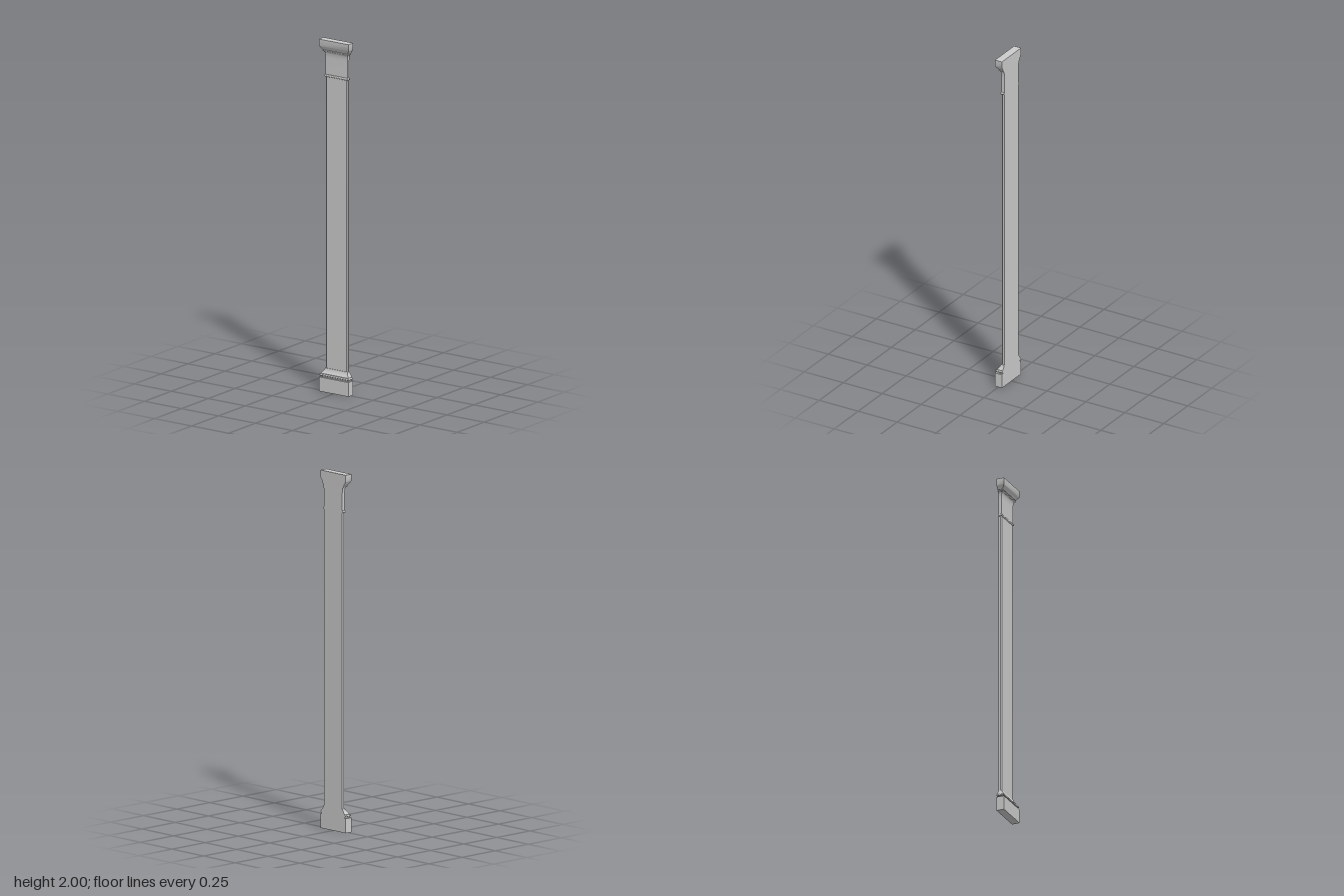
import * as THREE from 'three';
import { toCreasedNormals } from 'three/addons/utils/BufferGeometryUtils.js';

const BACK = -0.0225;
const SHAFT = 0.073;
const frontOf = (w) => w - 0.0775; // mouldings project equally to the front and sides
const material = new THREE.MeshStandardMaterial({ color: 0xcccccc });

// Mitred moulding against a flat back; rows are [height, half width]
function moulding(name, rows) {
  const pos = [], index = [];
  rows.forEach(([y, w]) => {
    const f = frontOf(w);
    pos.push(-w, y, BACK, -w, y, f, w, y, f, w, y, BACK);
  });
  for (let i = 0; i < rows.length - 1; i++) {
    for (let j = 0; j < 4; j++) {
      const a = i * 4 + j, b = i * 4 + (j + 1) % 4;
      index.push(a, b, b + 4, a, b + 4, a + 4);
    }
  }
  const t = (rows.length - 1) * 4;
  index.push(0, 2, 1, 0, 3, 2, t, t + 1, t + 2, t, t + 2, t + 3);
  const geo = new THREE.BufferGeometry();
  geo.setAttribute('position', new THREE.Float32BufferAttribute(pos, 3));
  geo.setIndex(index);
  const mesh = new THREE.Mesh(toCreasedNormals(geo, 0.6), material);
  mesh.name = name;
  return mesh;
}

// Half-round bead rows
function bead(y, w, height, depth, steps = 8) {
  return Array.from({ length: steps + 1 }, (_, i) => {
    const a = Math.PI * (i / steps - 0.5);
    return [y + Math.sin(a) * height / 2, w + Math.cos(a) * depth];
  });
}

// Hollow quarter curve rows from a narrow to a wide end
function cove(y0, w0, y1, w1, steps = 8) {
  return Array.from({ length: steps + 1 }, (_, i) => {
    const a = (i / steps) * Math.PI / 2;
    return [y0 + (y1 - y0) * Math.sin(a), w0 + (w1 - w0) * (1 - Math.cos(a))];
  });
}

export function createModel() {
  const group = new THREE.Group();
  group.name = 'pilaster';

  // Base: plinth, recess, bead and sloping top
  group.add(moulding('plinth', [[0, 0.1], [0.081, 0.1]]));
  group.add(moulding('baseMoulding', [
    [0.081, 0.09], [0.088, 0.09],
    ...bead(0.094, 0.092, 0.012, 0.006),
    [0.102, 0.092], [0.112, 0.085], [0.124, 0.077], [0.13, 0.076], [0.13, SHAFT],
  ]));

  // Shaft with narrow chamfers on the front corners
  const c = 0.005, f = frontOf(SHAFT);
  const section = new THREE.Shape([
    [-SHAFT, BACK], [-SHAFT, f - c], [-SHAFT + c, f],
    [SHAFT - c, f], [SHAFT, f - c], [SHAFT, BACK],
  ].map(([x, z]) => new THREE.Vector2(x, -z)));
  const shaftGeo = new THREE.ExtrudeGeometry(section, { depth: 1.655, bevelEnabled: false });
  shaftGeo.rotateX(-Math.PI / 2).translate(0, 0.13, 0);
  const shaft = new THREE.Mesh(shaftGeo, material);
  shaft.name = 'shaft';
  group.add(shaft);

  // Neck ring and capital
  group.add(moulding('neckRing', bead(1.792, SHAFT, 0.014, 0.005)));
  group.add(moulding('neck', [
    [1.799, SHAFT],
    ...cove(1.89, SHAFT, 1.93, 0.081),
    ...bead(1.935, 0.081, 0.01, 0.004),
  ]));
  group.add(moulding('abacus', [
    [1.94, 0.086], [1.945, 0.088], [1.952, 0.093], [1.96, 0.098], [1.963, 0.1], [2, 0.1],
  ]));
  return group;
}
